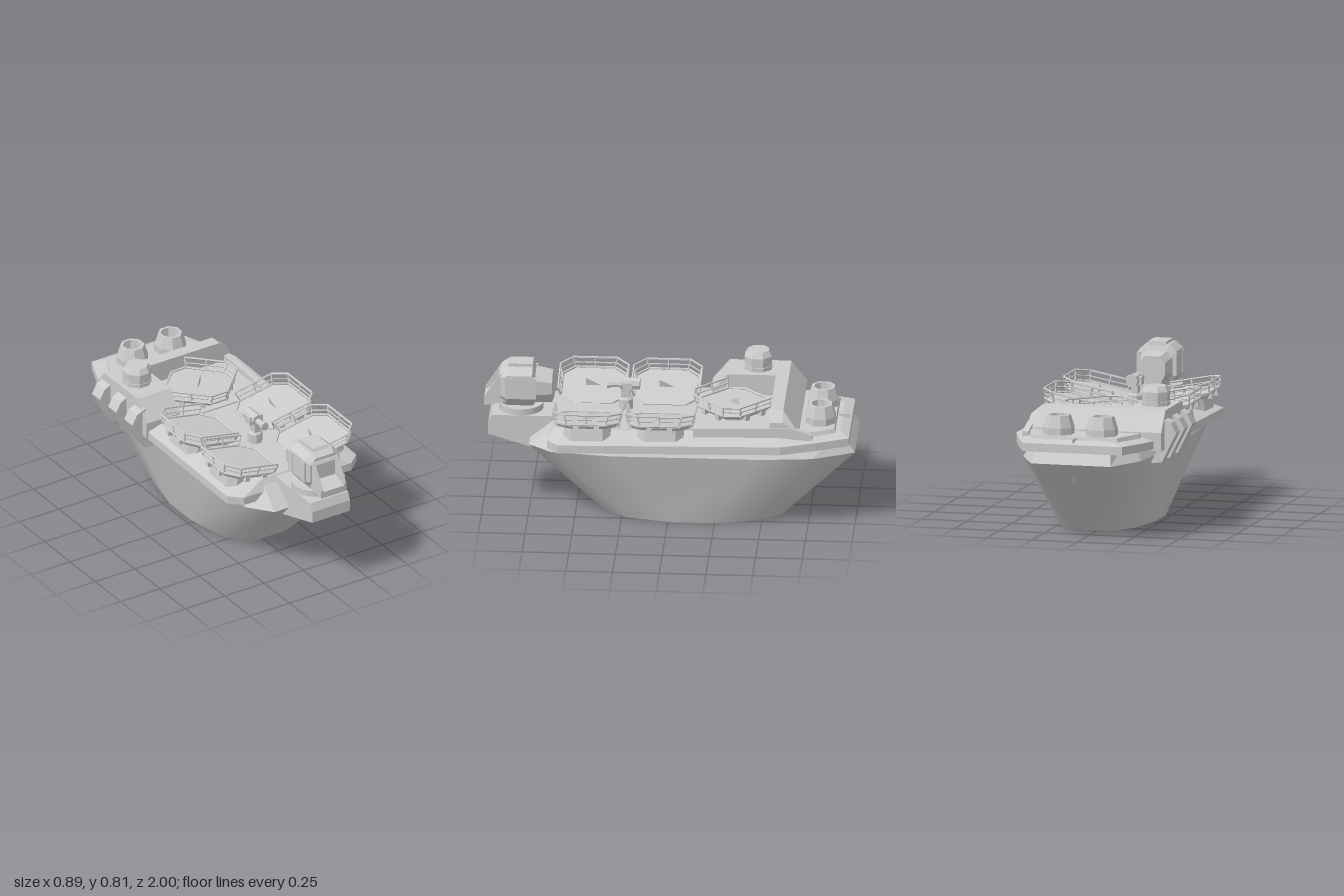
import * as THREE from 'three';
import { toCreasedNormals } from 'three/addons/utils/BufferGeometryUtils.js';

const flat = new THREE.MeshStandardMaterial({ color: 0xcccccc, flatShading: true });
const smooth = new THREE.MeshStandardMaterial({ color: 0xcccccc });
const thin = new THREE.MeshStandardMaterial({ color: 0xcccccc, flatShading: true, side: THREE.DoubleSide });

function add(parent, name, geometry, pos = [0, 0, 0], material = flat) {
  const mesh = new THREE.Mesh(geometry, material);
  mesh.name = name;
  mesh.position.set(...pos);
  parent.add(mesh);
  return mesh;
}

// Solid through equal-length rings of [x, y, z]; faces are turned outward
function loft(rings, capped = true) {
  const tris = [], n = rings[0].length;
  for (let r = 0; r < rings.length - 1; r++) {
    for (let i = 0; i < n; i++) {
      const j = (i + 1) % n, [a, b, c, d] = [rings[r][i], rings[r][j], rings[r + 1][j], rings[r + 1][i]];
      tris.push([a, b, c], [a, c, d]);
    }
  }
  const cap = (ring, flip) => {
    const m = [0, 1, 2].map(k => ring.reduce((s, p) => s + p[k], 0) / n);
    ring.forEach((p, i) => {
      const q = ring[(i + 1) % n];
      tris.push(flip ? [m, q, p] : [m, p, q]);
    });
  };
  if (capped) {
    cap(rings[0], true);
    cap(rings[rings.length - 1], false);
  }
  const v = p => new THREE.Vector3(...p);
  const volume = tris.reduce((s, [a, b, c]) => s + v(a).dot(v(b).cross(v(c))), 0);
  const pts = tris.flatMap(t => (volume < 0 ? [t[0], t[2], t[1]] : t));
  const g = new THREE.BufferGeometry();
  g.setAttribute('position', new THREE.Float32BufferAttribute(pts.flat(), 3));
  g.computeVertexNormals();
  return g;
}

// Half outline of [x, z] mirrored into a full ring, height given by a rule
const ring = (half, y) => [...half, ...half.map(([x, z]) => [-x, z]).reverse()]
  .map(([x, z]) => [x, typeof y === 'number' ? y : y(z), z]);
// Side profile of [z, y] stretched from x0 to x1
const prism = (profile, x0, x1) => loft([x0, x1].map(x => profile.map(([z, y]) => [x, y, z])));
// Chamfered square
const oct = (h, c, y) => [[h, h - c], [h - c, h], [c - h, h], [-h, h - c], [-h, c - h], [c - h, -h], [h - c, -h], [h, c - h]]
  .map(([x, z]) => [x, y, z]);
// Eight-sided turned part
const turned = pts => new THREE.LatheGeometry(pts.map(p => new THREE.Vector2(...p)), 8, Math.PI / 8);
const box = (x, y, z) => new THREE.BoxGeometry(x, y, z);

function bar(parent, name, a, b, r = 0.005, sides = 5) {
  const p = new THREE.Vector3(...a), q = new THREE.Vector3(...b), d = q.clone().sub(p);
  const m = add(parent, name, new THREE.CylinderGeometry(r, r, d.length(), sides), p.clone().add(q).multiplyScalar(0.5).toArray());
  m.quaternion.setFromUnitVectors(new THREE.Vector3(0, 1, 0), d.normalize());
}

function fin(parent, name, pos) {
  const s = new THREE.Shape([[-0.04, 0], [0.04, 0], [-0.04, 0.045]].map(p => new THREE.Vector2(...p)));
  add(parent, name, new THREE.ShapeGeometry(s), pos, thin).rotation.y = -Math.PI / 2;
}

// Landing pad with the open side of its railing at -x
function landingPad() {
  const pad = new THREE.Group();
  pad.name = 'landingPad';
  add(pad, 'padDeck', loft([oct(0.15, 0.055, -0.022), oct(0.163, 0.06, -0.008), oct(0.163, 0.06, 0.002)]));
  add(pad, 'padPedestal', loft([oct(0.125, 0.04, -0.14), oct(0.125, 0.04, -0.01)]));
  const rim = oct(0.171, 0.063, 0.004);
  rim.forEach((p, i) => bar(pad, 'padRim', p, rim[(i + 1) % 8], 0.007));
  const order = [5, 6, 7, 0, 1, 2];
  const path = (h, y) => order.map(i => oct(h, 0.065, y)[i]);
  const foot = path(0.168, 0), mid = path(0.176, 0.03), top = path(0.183, 0.058);
  for (let i = 0; i < 6; i++) {
    bar(pad, 'railPost', foot[i], top[i]);
    if (i === 5) break;
    bar(pad, 'topRail', top[i], top[i + 1], 0.006);
    bar(pad, 'middleRail', mid[i], mid[i + 1], 0.004);
    const half = l => l[i].map((v, k) => (v + l[i + 1][k]) / 2);
    if (i % 2 === 0) bar(pad, 'railPost', half(foot), half(top));
  }
  for (let k = 0; k < 4; k++) {
    const side = new THREE.Group();
    side.name = 'padBrackets';
    side.rotation.y = k * Math.PI / 2;
    for (const s of [-0.055, 0.055]) add(side, 'padBracket', box(0.026, 0.032, 0.028), [0.16, -0.016, s]);
    pad.add(side);
  }
  fin(pad, 'padMarker', [0, 0.002, 0]);
  return pad;
}

function bowTurret() {
  const gun = new THREE.Group();
  gun.name = 'bowTurret';
  add(gun, 'turretRing', toCreasedNormals(new THREE.CylinderGeometry(0.12, 0.12, 0.035, 24), 0.6), [0, 0.558, 0.8], smooth);
  const section = (w, lo, hi, z) => [[-w, lo + 0.055], [-w * 0.58, lo], [w * 0.58, lo], [w, lo + 0.055],
    [w, hi - 0.035], [w * 0.62, hi], [-w * 0.62, hi], [-w, hi - 0.035]].map(([x, y]) => [x, y, z]);
  add(gun, 'turretBody', loft([section(0.07, 0.59, 0.745, 0.63), section(0.085, 0.59, 0.76, 0.72),
    section(0.106, 0.573, 0.795, 0.735), section(0.106, 0.573, 0.795, 0.87), section(0.09, 0.585, 0.775, 0.905)]));
  add(gun, 'turretHatch', prism([[0.73, 0.78], [0.735, 0.81], [0.86, 0.81], [0.88, 0.78]], -0.05, 0.05));
  // Hollow muzzle with a raked mouth
  const cheek = [[0.88, 0.6], [0.995, 0.578], [0.995, 0.625], [0.91, 0.758], [0.88, 0.758]];
  for (const s of [-1, 1]) {
    add(gun, 'muzzleCheek', prism(cheek, s * 0.065, s * 0.08));
    for (const z of [0.735, 0.86]) add(gun, 'sideArmour', box(0.02, 0.12, 0.04), [s * 0.1, 0.69, z]);
  }
  add(gun, 'muzzleFloor', prism([[0.88, 0.6], [0.995, 0.578], [0.995, 0.615], [0.9, 0.645]], -0.066, 0.066));
  add(gun, 'muzzleRoof', prism([[0.88, 0.74], [0.92, 0.742], [0.91, 0.758], [0.88, 0.758]], -0.066, 0.066));
  return gun;
}

function deckGun() {
  const gun = new THREE.Group();
  gun.name = 'deckGun';
  gun.position.set(-0.015, 0, 0.24);
  add(gun, 'deckGunFoot', turned([[0.04, 0.54], [0.04, 0.6], [0.03, 0.61], [0, 0.61]]));
  add(gun, 'deckGunPost', box(0.035, 0.07, 0.05), [0, 0.635, 0]);
  bar(gun, 'deckGunBody', [0, 0.685, -0.075], [0, 0.685, 0.03], 0.033, 8);
  bar(gun, 'deckGunBarrel', [0, 0.68, 0.03], [0, 0.68, 0.09], 0.018, 8);
  bar(gun, 'deckGunMuzzle', [0, 0.68, 0.08], [0, 0.68, 0.1], 0.024, 8);
  for (const s of [-1, 1]) add(gun, 'deckGunEar', box(0.016, 0.045, 0.05), [s * 0.034, 0.68, -0.01]);
  return gun;
}

export function createModel() {
  const model = new THREE.Group();
  model.name = 'armedBarge';
  const ship = new THREE.Group();
  ship.name = 'ship';
  ship.position.x = 0.035;
  model.add(ship);

  // Hull
  const keel = [[0.11, 0.345], [0.205, 0.22], [0.255, -0.02], [0.255, -0.23], [0.205, -0.47], [0.11, -0.6]];
  const rim = [[0.215, 0.745], [0.315, 0.62], [0.355, 0.3], [0.355, -0.5], [0.325, -0.78], [0.22, -1]];
  add(ship, 'hull', toCreasedNormals(loft([ring(keel, 0), ring(rim, 0.415)], false), 1.1), [0, 0, 0], smooth);
  add(ship, 'hullBottom', loft([ring(keel, 0), ring(keel, 0.004)]));
  const bowTop = [[0.2, 0.585], [0.25, 0.5], [0.28, 0.3], [0.28, -0.5], [0.25, -0.7], [0.2, -0.92]];
  add(ship, 'upperHull', loft([ring(rim, 0.415), ring(bowTop, z => (z < -0.8 ? 0.53 : 0.548))]));

  // Overhanging deck plates sloping down to the sides
  const edge = [[0.34, 0.64], [0.41, 0.58], [0.41, -0.61], [0.345, -0.8], [0.275, -0.97]];
  const under = [[0.19, 0.62], [0.24, 0.55], [0.26, -0.6], [0.24, -0.76], [0.19, -0.9]];
  const crown = [[0.2, 0.6], [0.25, 0.54], [0.28, -0.6], [0.25, -0.8], [0.2, -0.92]];
  const low = z => 0.447 + (0.64 - z) * 0.017;
  add(ship, 'sideDeck', loft([ring(under, 0.5), ring(edge, low), ring(edge, z => low(z) + 0.045), ring(crown, z => (z < -0.7 ? 0.535 : 0.548))]));

  // Raised stern deck with its low wall
  const tier = [[0.325, -0.14], [0.325, -0.74], [0.24, -0.91]];
  const tierTop = [[0.3, -0.15], [0.3, -0.73], [0.225, -0.89]];
  add(ship, 'sternDeck', loft([ring(tier, 0.49), ring(tierTop, 0.553)]));
  add(ship, 'sideWall', prism([[-0.14, 0.49], [-0.14, 0.575], [-0.66, 0.59], [-0.78, 0.55], [-0.78, 0.49]], 0.295, 0.33));
  add(ship, 'sternSeam', box(0.006, 0.02, 0.06), [0, 0.537, -0.93]);
  fin(ship, 'sternMarker', [0, 0.31, -0.91]);

  // Superstructure: cross block and wing
  const block = (z, top) => [[-0.42, 0.46], [0.325, 0.48], [0.325, Math.min(0.62, top)], [0.265, top], [-0.42, top]].map(([x, y]) => [x, y, z]);
  add(ship, 'crossBlock', loft([block(-0.705, 0.56), block(-0.62, 0.67), block(-0.55, 0.67)]));
  add(ship, 'wingBlock', prism([[-0.2, 0.47], [-0.2, 0.56], [-0.29, 0.67], [-0.6, 0.67], [-0.6, 0.47]], -0.42, -0.21));

  // Angled ribs on the flank
  const rib = new THREE.Shape([[-0.4, 0.63], [-0.455, 0.605], [-0.485, 0.55], [-0.405, 0.39], [-0.345, 0.385], [-0.42, 0.55]]
    .map(p => new THREE.Vector2(...p)));
  for (const z of [-0.6, -0.44, -0.28]) {
    add(ship, 'flankRib', new THREE.ExtrudeGeometry(rib, { depth: 0.08, bevelEnabled: false }), [0, 0, z - 0.04]);
  }

  // Lookout tower
  add(ship, 'lookoutTower', turned([[0, 0.66], [0.079, 0.66], [0.079, 0.69], [0.076, 0.691], [0.076, 0.719],
    [0.079, 0.72], [0.079, 0.745], [0.06, 0.775], [0, 0.775]]), [-0.32, 0, -0.45]);

  // Funnels
  for (const s of [-1, 1]) {
    add(ship, 'funnel', turned([[0.086, 0.54], [0.086, 0.59], [0.066, 0.655], [0.05, 0.655], [0.046, 0.6], [0, 0.6]]), [s * 0.12, 0, -0.81]);
  }

  // Landing pads: four tilted inward, one turned on the stern deck
  for (const s of [-1, 1]) {
    for (const z of [0.035, 0.427]) {
      const pad = landingPad();
      pad.position.set(s * 0.233, 0.577, z);
      pad.rotation.set(0, s < 0 ? Math.PI : 0, 0.19);
      ship.add(pad);
    }
  }
  const rearPad = landingPad();
  rearPad.position.set(0, 0.592, -0.34);
  rearPad.rotation.y = -Math.PI / 4;
  ship.add(rearPad);
  ship.add(deckGun());

  // Bow platform and turret
  add(ship, 'bowPlatform', prism([[0.56, 0.54], [0.95, 0.54], [0.97, 0.495], [0.97, 0.43], [0.68, 0.342], [0.56, 0.38]], -0.12, 0.12));
  ship.add(bowTurret());
  return model;
}
